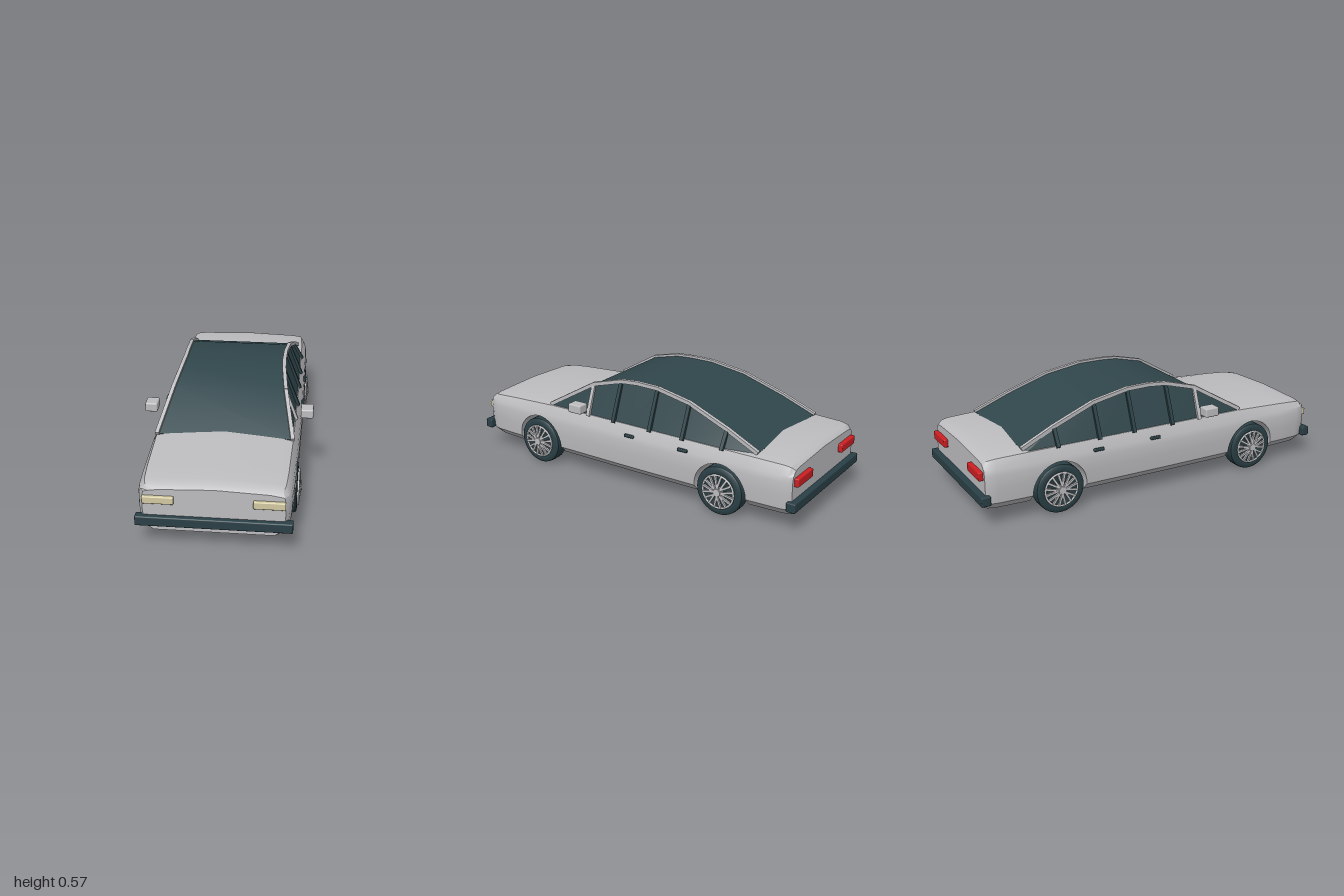
import * as THREE from 'three';
import { toCreasedNormals } from 'three/addons/utils/BufferGeometryUtils.js';
import { RoundedBoxGeometry } from 'three/addons/geometries/RoundedBoxGeometry.js';

const mat = (name, color) => Object.assign(new THREE.MeshStandardMaterial({ color }), { name });
const silver = mat('silver paint', 0xbdbdc0);
const glass = mat('tinted glass', 0x30464b);
const trim = mat('dark trim', 0x2a4046);
const cream = mat('headlight cream', 0xd2c9a0);
const red = mat('tail light red', 0xcc1f22);

const AXLE_Z = 0.583, AXLE_Y = 0.13, ARCH_R = 0.147;

function add(parent, name, geometry, material, x = 0, y = 0, z = 0) {
  const m = new THREE.Mesh(geometry, material);
  m.name = name;
  m.position.set(x, y, z);
  parent.add(m);
  return m;
}

// Linear lookup in rows sorted by descending first column
function sample(rows, z) {
  let i = 0;
  while (i < rows.length - 2 && z < rows[i + 1][0]) i++;
  const t = THREE.MathUtils.clamp((z - rows[i][0]) / (rows[i + 1][0] - rows[i][0]), 0, 1);
  return rows[i].map((v, k) => v + (rows[i + 1][k] - v) * t);
}

// Closed skin over equal-length half sections, mirrored in x; stations run from +z to -z
function loft(sections, crease) {
  const rings = sections.map(({ z, pts }) => [
    ...pts.map(([x, y]) => [x, y, z]),
    ...pts.slice().reverse().map(([x, y]) => [-x, y, z]),
  ]);
  const n = rings[0].length, pos = [];
  const quad = (a, b, c, d) => pos.push(...a, ...b, ...c, ...a, ...c, ...d);
  for (let s = 0; s < rings.length - 1; s++)
    for (let i = 0; i < n; i++) {
      const j = (i + 1) % n, A = rings[s], B = rings[s + 1];
      quad(A[i], B[i], B[j], A[j]);
    }
  const F = rings[0], R = rings[rings.length - 1];
  for (let i = 0; i < n / 2 - 1; i++) {
    quad(F[i], F[i + 1], F[n - 2 - i], F[n - 1 - i]);
    quad(R[n - 1 - i], R[n - 2 - i], R[i + 1], R[i]);
  }
  const g = new THREE.BufferGeometry();
  g.setAttribute('position', new THREE.Float32BufferAttribute(pos, 3));
  return toCreasedNormals(g, crease);
}

// Lower body: z, half width, shoulder height, crown height, bottom height
const BODY = [
  [0.975, 0.335, 0.3, 0.318, 0.09], [0.95, 0.352, 0.318, 0.334, 0.083], [0.91, 0.362, 0.325, 0.342, 0.08],
  [0.8, 0.368, 0.333, 0.349, 0.08], [0.5, 0.375, 0.347, 0.37, 0.08], [0, 0.378, 0.35, 0.37, 0.08],
  [-0.75, 0.374, 0.347, 0.367, 0.08], [-0.91, 0.367, 0.343, 0.361, 0.08],
  [-0.95, 0.36, 0.336, 0.352, 0.083], [-0.97, 0.348, 0.32, 0.336, 0.088],
];

function bodySection(z, archY) {
  const [, w, shoulder, crown, floor] = sample(BODY, z);
  const side = [[floor, w - 0.05], [0.122, w - 0.008], [0.2, w], [0.265, w], [0.295, w - 0.006], [shoulder, w - 0.03]];
  const bottom = archY ?? floor;
  const up = side.slice().reverse();
  const pts = side.map(([y, x]) => (y < bottom ? [sample(up, bottom)[1], bottom] : [x, y]));
  pts.push([w - 0.075, shoulder + (crown - shoulder) * 0.4], [0, crown]);
  return { z, pts: [[0, bottom], ...pts] };
}

function bodyGeometry() {
  const list = BODY.map(([z]) => bodySection(z)).filter(s => Math.abs(Math.abs(s.z) - AXLE_Z) > ARCH_R);
  for (const c of [AXLE_Z, -AXLE_Z]) {
    const arch = [bodySection(c + ARCH_R)];
    for (let i = 0; i <= 20; i++) {
      const a = (i / 20) * Math.PI;
      arch.push(bodySection(c + ARCH_R * Math.cos(a), AXLE_Y + ARCH_R * Math.sin(a)));
    }
    arch.push(bodySection(c - ARCH_R));
    list.push(...arch);
  }
  return loft(list.sort((a, b) => b.z - a.z), 0.5);
}

// Cabin: z, roof height, roof half width, base half width
const CABIN = [
  [0.51, 0.355, 0.338, 0.342], [0.25, 0.505, 0.288, 0.347], [0.08, 0.548, 0.27, 0.35], [-0.02, 0.555, 0.266, 0.35],
  [-0.15, 0.553, 0.268, 0.35], [-0.35, 0.518, 0.278, 0.35], [-0.58, 0.435, 0.296, 0.347], [-0.76, 0.357, 0.31, 0.342],
];

// Square bar between two points
function beam(parent, name, a, b, width, depth, material) {
  const m = add(parent, name, new THREE.BoxGeometry(width, depth, a.distanceTo(b) + 0.008), material);
  m.position.copy(a).add(b).multiplyScalar(0.5);
  m.lookAt(b);
}

function wheel() {
  const g = new THREE.Group();
  g.name = 'wheel';
  // Tyre with rounded shoulders, outer face towards local +y
  const profile = [[0, -0.04], [0.12, -0.04], [0.128, -0.034], [0.13, -0.025], [0.13, 0.025], [0.128, 0.034],
    [0.12, 0.04], [0.1, 0.042], [0.09, 0.038], [0, 0.038]].map(p => new THREE.Vector2(...p));
  add(g, 'tyre', toCreasedNormals(new THREE.LatheGeometry(profile, 40), 0.6), trim);
  const ring = add(g, 'rimRing', new THREE.TorusGeometry(0.088, 0.006, 6, 40), silver, 0, 0.046, 0);
  ring.rotation.x = Math.PI / 2;
  add(g, 'hub', new THREE.CylinderGeometry(0.02, 0.026, 0.024, 20), silver, 0, 0.05, 0);
  // Eight forked spokes
  for (let i = 0; i < 8; i++) {
    const a = (i / 8) * Math.PI * 2;
    for (const s of [-1, 1]) {
      const p = new THREE.Vector3(Math.cos(a) * 0.018, 0.054, Math.sin(a) * 0.018);
      const q = new THREE.Vector3(Math.cos(a + s * 0.2) * 0.085, 0.047, Math.sin(a + s * 0.2) * 0.085);
      beam(g, 'spoke', p, q, 0.011, 0.01, silver);
    }
  }
  return g;
}

export function createModel() {
  const car = new THREE.Group();
  car.name = 'car';
  add(car, 'body', bodyGeometry(), silver);

  // Glass canopy
  const canopy = CABIN.map(([z, y, xr, xb]) => ({ z, pts: [[xb, 0.335], [xr, y]] }));
  add(car, 'glassCanopy', loft(canopy, 0.4), glass);

  // Bumpers
  add(car, 'frontBumper', new RoundedBoxGeometry(0.742, 0.05, 0.045, 2, 0.006), trim, 0, 0.145, 0.9775);
  add(car, 'rearBumper', new RoundedBoxGeometry(0.742, 0.05, 0.05, 2, 0.006), trim, 0, 0.145, -0.975);

  for (const s of [1, -1]) {
    const rail = CABIN.map(([z, y, x]) => new THREE.Vector3(s * (x + 0.003), y + 0.002, z));
    for (let i = 0; i < rail.length - 1; i++) beam(car, 'roofRail', rail[i], rail[i + 1], 0.02, 0.02, silver);

    // Window pillars: first one painted, the rest dark
    for (const i of [1, 2, 4, 5, 6]) {
      const [z, y, xr, xb] = CABIN[i];
      const top = new THREE.Vector3(s * (xr + 0.004), y - 0.004, z);
      const base = new THREE.Vector3(s * (xb + 0.004), 0.345, z);
      beam(car, 'windowPillar', top, base, 0.02, 0.016, i === 1 ? silver : trim);
    }

    add(car, 'sideMirror', new RoundedBoxGeometry(0.065, 0.048, 0.082, 2, 0.007), silver, s * 0.406, 0.402, 0.275);
    for (const z of [-0.038, -0.368])
      add(car, 'doorHandle', new RoundedBoxGeometry(0.016, 0.016, 0.058, 2, 0.005), trim, s * 0.376, 0.3, z);
    add(car, 'headlight', new RoundedBoxGeometry(0.15, 0.038, 0.04, 2, 0.005), cream, s * 0.26, 0.256, 0.972);
    add(car, 'tailLight', new RoundedBoxGeometry(0.16, 0.045, 0.04, 2, 0.006), red, s * 0.25, 0.262, -0.973);

    for (const z of [AXLE_Z, -AXLE_Z]) {
      const w = wheel();
      w.position.set(s * 0.335, AXLE_Y, z);
      w.rotation.z = -s * Math.PI / 2;
      car.add(w);
    }
  }
  return car;
}
